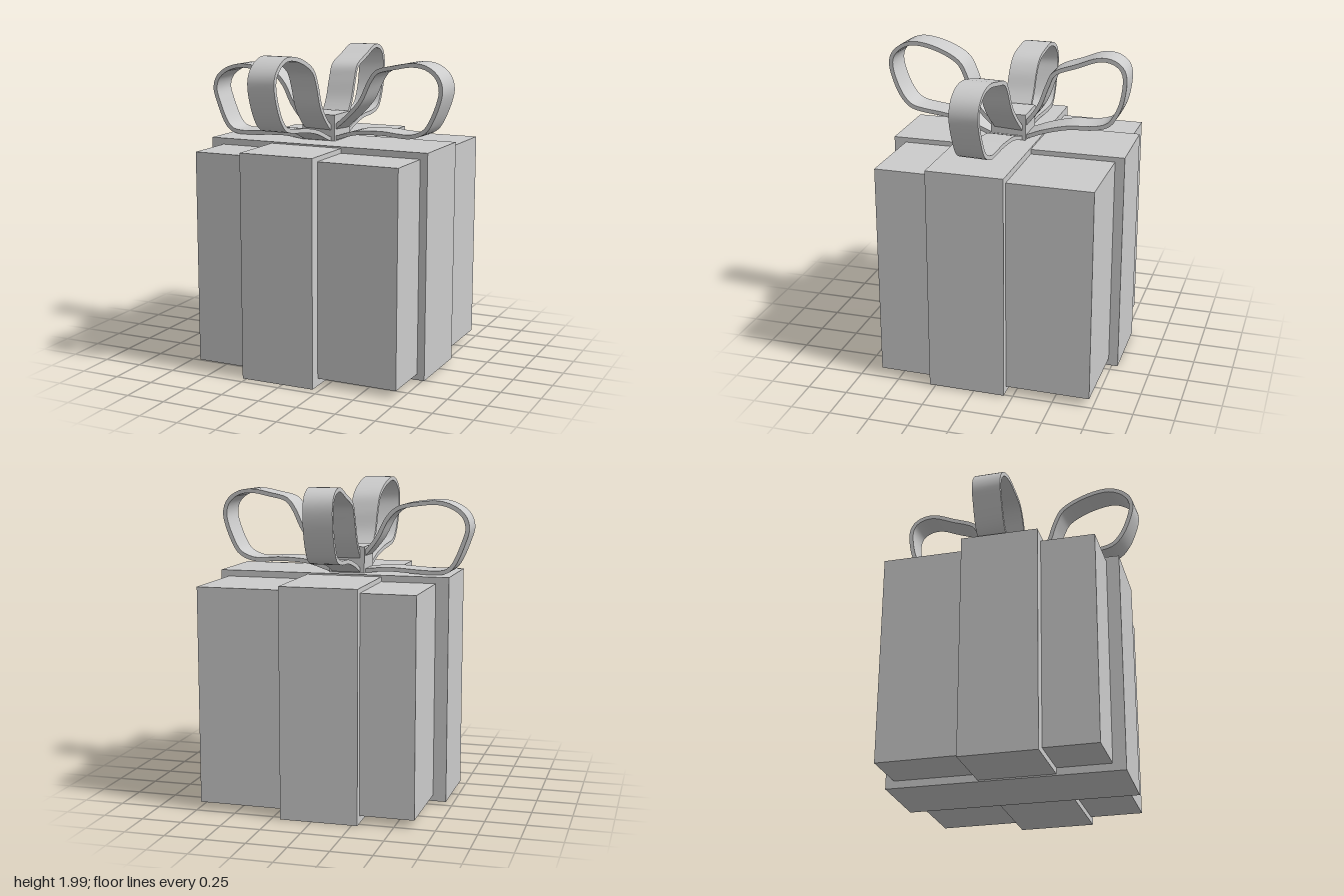
import * as THREE from 'three';
import { toCreasedNormals } from 'three/addons/utils/BufferGeometryUtils.js';

const material = new THREE.MeshStandardMaterial({ color: 0xcccccc });

// Box given by its limits on each axis, turned slightly about its own centre
function block(name, [x0, x1], [y0, y1], [z0, z1], turn = 0) {
  const mesh = new THREE.Mesh(new THREE.BoxGeometry(x1 - x0, y1 - y0, z1 - z0), material);
  mesh.position.set((x0 + x1) / 2, (y0 + y1) / 2, (z0 + z1) / 2);
  mesh.rotation.y = turn;
  mesh.name = name;
  return mesh;
}

// Bow loop: a thin strip following an outer outline (distance from knot, height)
function bowLoop(name, outline, x, z, turn) {
  const thickness = 0.026, width = 0.18, steps = 72;
  const curve = new THREE.SplineCurve(outline.map(([d, y]) => new THREE.Vector2(d, y)));
  const outer = [], inner = [];
  for (let i = 0; i <= steps; i++) {
    const p = curve.getPointAt(i / steps), t = curve.getTangentAt(i / steps);
    outer.push(p);
    inner.push(new THREE.Vector2(p.x + t.y * thickness, p.y - t.x * thickness));
  }
  const strip = new THREE.Shape([...outer, ...inner.reverse()]);
  const geometry = new THREE.ExtrudeGeometry(strip, { depth: width, bevelEnabled: false });
  geometry.translate(0, 0, -width / 2);
  const mesh = new THREE.Mesh(toCreasedNormals(geometry, 0.7), material);
  mesh.position.set(x, 0, z);
  mesh.rotation.y = turn;
  mesh.name = name;
  return mesh;
}

export function createModel() {
  const gift = new THREE.Group();
  gift.name = 'giftBox';

  // Box, the two crossing ribbon bands and the knot
  gift.add(
    block('box', [-0.625, 0.725], [0.05, 1.39], [-0.73, 0.615], -0.0075),
    block('ribbonAcross', [-0.708, 0.772], [0.012, 1.43], [-0.203, 0.278], -0.007),
    block('ribbonFrontToBack', [-0.28, 0.2], [0.003, 1.42], [-0.787, 0.692], 0.007),
    block('knot', [-0.153, 0.072], [1.42, 1.595], [-0.132, 0.092]),
  );

  // Four bow loops, each with its own slightly uneven outline
  gift.add(bowLoop('leftBowLoop', [
    [0.0, 1.47], [0.08, 1.54], [0.16, 1.61], [0.24, 1.70], [0.3, 1.82], [0.36, 1.89], [0.48, 1.92],
    [0.6, 1.94], [0.7, 1.925], [0.775, 1.87], [0.805, 1.79], [0.79, 1.7], [0.74, 1.58],
    [0.69, 1.515], [0.6, 1.478], [0.5, 1.478], [0.4, 1.485], [0.22, 1.475], [0.08, 1.435], [0.0, 1.425],
  ], 0, -0.025, -0.068));
  gift.add(bowLoop('rightBowLoop', [
    [0.08, 1.5], [0.15, 1.57], [0.22, 1.66], [0.28, 1.775], [0.36, 1.85], [0.5, 1.88], [0.62, 1.887],
    [0.72, 1.858], [0.79, 1.80], [0.814, 1.72], [0.79, 1.63], [0.74, 1.51], [0.69, 1.45],
    [0.62, 1.43], [0.5, 1.432], [0.3, 1.442], [0.15, 1.428], [0.08, 1.425],
  ], 0, -0.007, Math.PI - 0.022));
  gift.add(bowLoop('frontBowLoop', [
    [0.03, 1.49], [0.12, 1.56], [0.2, 1.66], [0.25, 1.80], [0.31, 1.90], [0.45, 1.97], [0.6, 1.997],
    [0.7, 1.97], [0.77, 1.905], [0.785, 1.82], [0.75, 1.70], [0.7, 1.61], [0.64, 1.558],
    [0.55, 1.538], [0.4, 1.522], [0.25, 1.49], [0.1, 1.433], [0.03, 1.425],
  ], -0.04, 0, -Math.PI / 2 - 0.048));
  gift.add(bowLoop('backBowLoop', [
    [0.06, 1.49], [0.13, 1.56], [0.2, 1.66], [0.25, 1.79], [0.3, 1.88], [0.45, 1.94], [0.57, 1.985],
    [0.66, 1.983], [0.73, 1.94], [0.758, 1.86], [0.742, 1.72], [0.7, 1.615], [0.65, 1.555],
    [0.55, 1.527], [0.4, 1.517], [0.25, 1.48], [0.13, 1.435], [0.06, 1.425],
  ], -0.037, 0, Math.PI / 2));

  return gift;
}
